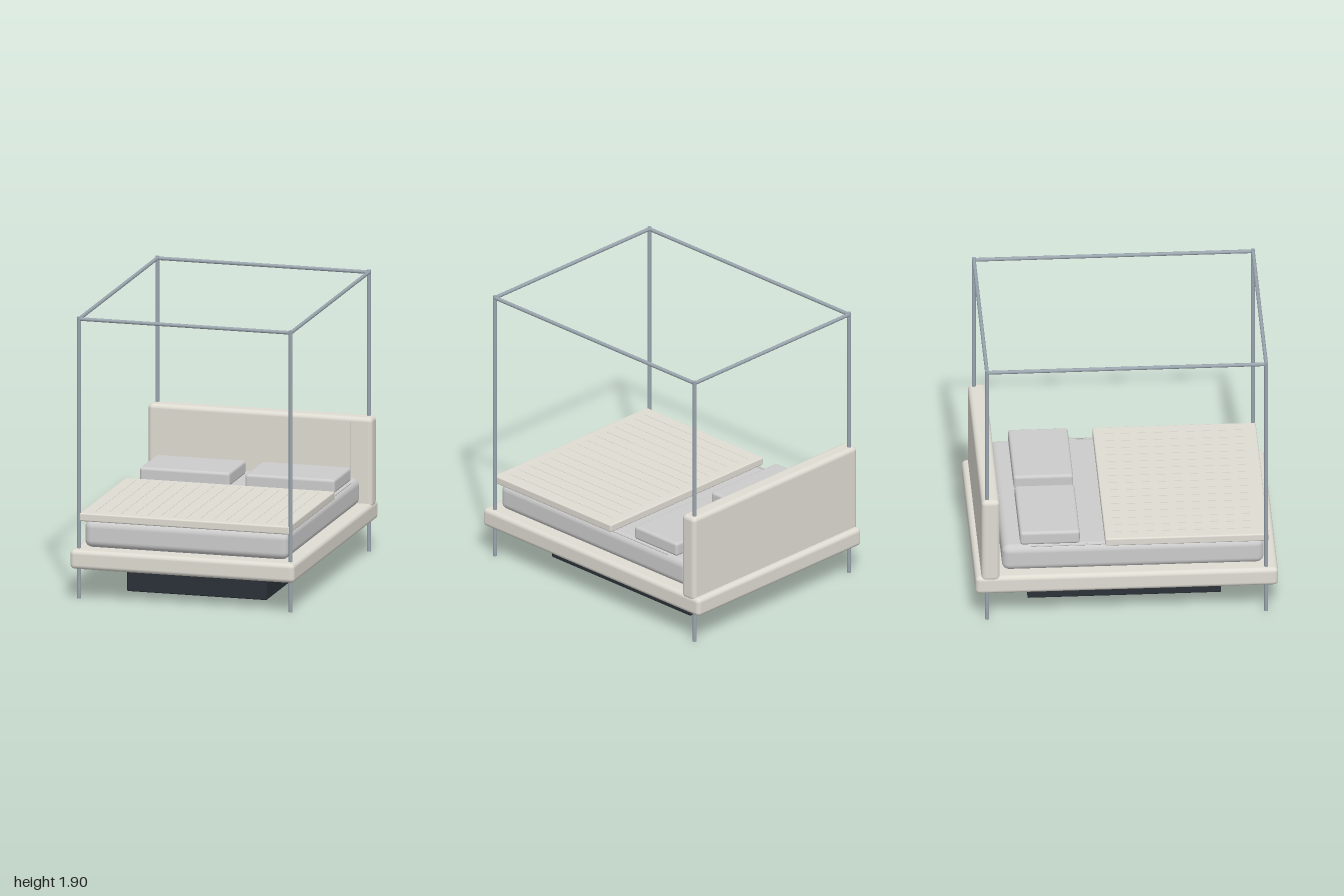
import * as THREE from 'three';
import { RoundedBoxGeometry } from 'three/addons/geometries/RoundedBoxGeometry.js';

const cream = new THREE.MeshStandardMaterial({ color: 0xdedbd2 });
const grey = new THREE.MeshStandardMaterial({ color: 0xcccccc });
const metal = new THREE.MeshStandardMaterial({ color: 0x9aa5ae });
const dark = new THREE.MeshStandardMaterial({ color: 0x2b3138 });

export function createModel() {
  const bed = new THREE.Group();
  bed.name = 'canopyBed';

  const add = (name, geometry, material, x, y, z) => {
    const mesh = new THREE.Mesh(geometry, material);
    mesh.name = name;
    mesh.position.set(x, y, z);
    bed.add(mesh);
    return mesh;
  };
  // Rounded block given by its [min, max] extents
  const block = (name, [x0, x1], [y0, y1], [z0, z1], radius, material) =>
    add(name, new RoundedBoxGeometry(x1 - x0, y1 - y0, z1 - z0, 4, radius), material,
      (x0 + x1) / 2, (y0 + y1) / 2, (z0 + z1) / 2);

  // Upholstered platform, headboard and plinth
  block('platform', [-0.77, 0.77], [0.21, 0.34], [-1, 1], 0.03, cream);
  block('headboard', [-0.77, 0.77], [0.31, 0.92], [-0.96, -0.84], 0.03, cream);
  block('plinth', [-0.48, 0.48], [0, 0.165], [-0.64, 0.64], 0.008, dark);

  // Bedding
  block('mattress', [-0.7, 0.7], [0.34, 0.525], [-0.82, 0.91], 0.05, grey);
  block('blanket', [-0.72, 0.72], [0.525, 0.58], [-0.14, 0.94], 0.01, cream);
  for (const s of [-1, 1]) {
    const inner = s * 0.053, outer = s * 0.67;
    block('pillow', [Math.min(inner, outer), Math.max(inner, outer)],
      [0.52, 0.616], [-0.7, -0.305], 0.02, grey);
    // Piping along the mattress edge
    const piping = add('mattressPiping', new THREE.CylinderGeometry(0.005, 0.005, 1.37, 8),
      grey, s * 0.683, 0.521, 0.055);
    piping.rotation.x = Math.PI / 2;
  }

  // Quilting ribs on the blanket
  for (let i = -7; i <= 7; i++) {
    add('blanketSeam', new THREE.BoxGeometry(0.005, 0.004, 0.95), cream, i * 0.09, 0.58, 0.4);
  }
  // Vertical channel seams on the headboard
  for (let i = -2; i <= 2; i++) {
    add('headboardSeam', new THREE.BoxGeometry(0.005, 0.5, 0.004), cream, i * 0.31, 0.64, -0.84);
  }

  // Canopy frame: four posts joined by top rails
  const px = 0.727, pz = 0.922, r = 0.0125, top = 1.89;
  for (const s of [-1, 1]) {
    for (const t of [-1, 1]) {
      add('post', new THREE.CylinderGeometry(0.0135, 0.0135, 1.905, 12), metal, s * px, 0.9525, t * pz);
    }
    const side = add('sideRail', new THREE.CylinderGeometry(r, r, 2 * pz, 12), metal, s * px, top, 0);
    side.rotation.x = Math.PI / 2;
    const end = add('endRail', new THREE.CylinderGeometry(r, r, 2 * px, 12), metal, 0, top, s * pz);
    end.rotation.z = Math.PI / 2;
  }
  return bed;
}
